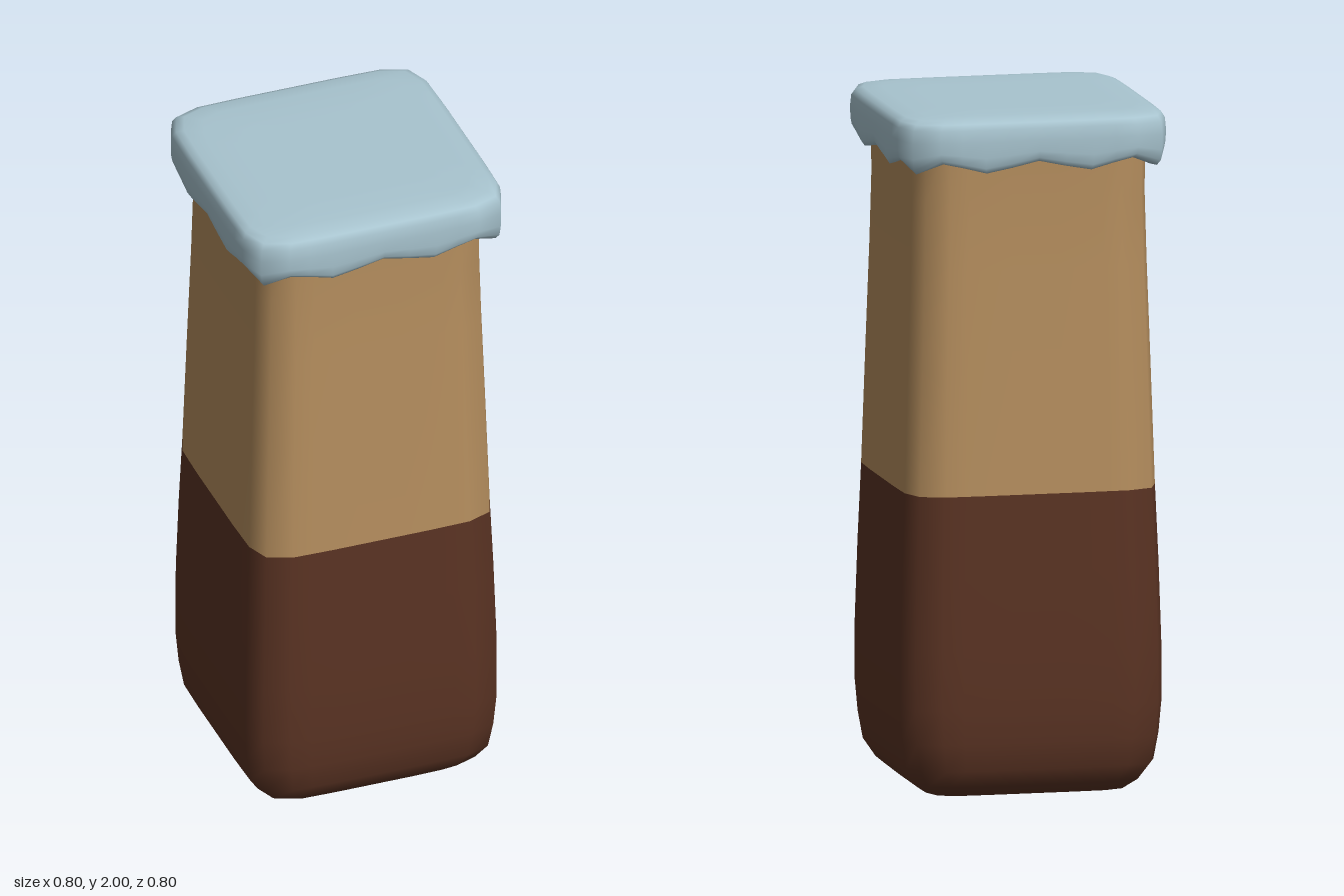
import * as THREE from 'three';

// One quarter of a unit rounded square; [across, out, scallop height] per point
const SIDE = [
  [-0.73, 0.992, 1], [-0.57, 0.996, 0.55], [-0.4, 1, 0], [-0.2, 1, 0.45], [0, 1, 1],
  [0.2, 1, 0.45], [0.4, 1, 0], [0.57, 0.996, 0.55], [0.73, 0.992, 1], [0.92, 0.92, 0],
];
const RING = [];
for (let q = 0; q < 4; q++) {
  const c = Math.round(Math.cos(q * Math.PI / 2)), s = Math.round(Math.sin(q * Math.PI / 2));
  for (const [t, o, w] of SIDE) RING.push([o * c - t * s, o * s + t * c, w]);
}

// Smooth loft through rings of [half width, y, scallop amount, material index of the band above]
function loft(profile) {
  const n = RING.length, pos = [], idx = [];
  const g = new THREE.BufferGeometry();
  profile.forEach(([h, y, wave = 0]) => {
    for (const [x, z, w] of RING) pos.push(x * h, y + wave * w, z * h);
  });
  for (let j = 0; j < profile.length - 1; j++) {
    g.addGroup(idx.length, n * 6, profile[j][3] || 0);
    for (let i = 0; i < n; i++) {
      const a = j * n + i, b = j * n + (i + 1) % n;
      idx.push(a, a + n, b, b, a + n, b + n);
    }
  }
  g.setAttribute('position', new THREE.Float32BufferAttribute(pos, 3));
  g.setIndex(idx);
  g.computeVertexNormals();
  return g;
}

export function createModel() {
  const material = (name, color) => {
    const m = new THREE.MeshStandardMaterial({ color });
    m.name = name;
    return m;
  };
  const brown = material('dark brown', 0x5a3323);
  const tan = material('tan', 0xb58e5e);
  const blue = material('pale blue', 0xa8c4cf);
  const model = new THREE.Group();
  model.name = 'jar';

  // Tapering square body: brown below, tan above
  const body = new THREE.Mesh(loft([
    [0, 0], [0.2, 0.002], [0.295, 0.018], [0.335, 0.05], [0.367, 0.1], [0.38, 0.18],
    [0.388, 0.28], [0.387, 0.45], [0.38, 0.68], [0.371, 0.9, 0, 1],
    [0.36, 1.25, 0, 1], [0.35, 1.55, 0, 1], [0.345, 1.75, 0, 1], [0.347, 1.94, 0, 1],
  ]), [brown, tan]);
  body.name = 'body';

  // Overhanging cover with a scalloped rim
  const cover = new THREE.Mesh(loft([
    [0.343, 1.9], [0.35, 1.862, 0.02], [0.367, 1.842, 0.03], [0.385, 1.84, 0.031],
    [0.395, 1.855, 0.027], [0.398, 1.885, 0.016], [0.399, 1.93, 0.004], [0.396, 1.967],
    [0.386, 1.984], [0.367, 1.993], [0.32, 1.998], [0.22, 2], [0, 2],
  ]), [blue]);
  cover.name = 'cover';

  model.add(body, cover);
  return model;
}
